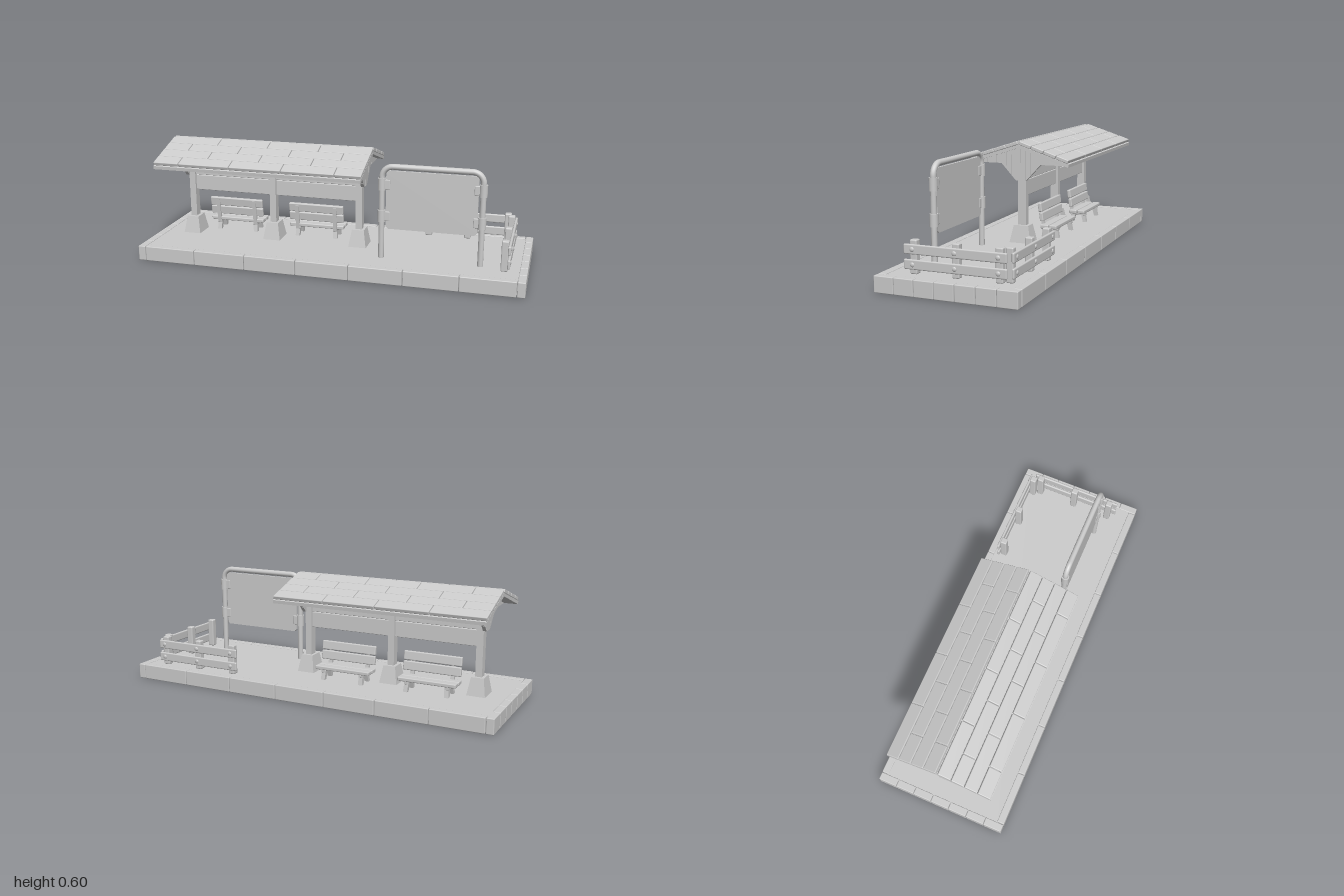
import * as THREE from 'three';
import { RoundedBoxGeometry } from 'three/addons/geometries/RoundedBoxGeometry.js';

const mat = new THREE.MeshStandardMaterial({ color: 0xcccccc });
const flat = new THREE.MeshStandardMaterial({ color: 0xcccccc, flatShading: true });

function add(parent, name, geo, x = 0, y = 0, z = 0, m = mat) {
  const mesh = new THREE.Mesh(geo, m);
  mesh.name = name;
  mesh.position.set(x, y, z);
  parent.add(mesh);
  return mesh;
}

function group(parent, name, x = 0, y = 0, z = 0) {
  const g = new THREE.Group();
  g.name = name;
  g.position.set(x, y, z);
  parent.add(g);
  return g;
}

// Box given by its limits, with softly rounded edges when r > 0
function block(parent, name, [x0, x1], [y0, y1], [z0, z1], r = 0.004) {
  const s = [x1 - x0, y1 - y0, z1 - z0];
  const geo = r ? new RoundedBoxGeometry(...s, 2, r) : new THREE.BoxGeometry(...s);
  return add(parent, name, geo, (x0 + x1) / 2, (y0 + y1) / 2, (z0 + z1) / 2);
}

// Outline in (z, y), extruded along x and centred on x = 0
function profileX(points, width) {
  const shape = new THREE.Shape(points.map(p => new THREE.Vector2(...p)));
  return new THREE.ExtrudeGeometry(shape, { depth: width, bevelEnabled: false })
    .translate(0, 0, -width / 2).rotateY(-Math.PI / 2);
}

const FLOOR = 0.074;

function platform(root) {
  const g = group(root, 'platform');
  block(g, 'slab', [-0.97, 0.97], [0.004, FLOOR], [-0.315, 0.315], 0);
  const xs = [-0.96, -0.686, -0.411, -0.137, 0.137, 0.411, 0.686, 0.96];
  for (const s of [-1, 1]) {
    const z = s < 0 ? [-0.345, -0.308] : [0.308, 0.345];
    for (let i = 0; i < 7; i++) {
      block(g, 'longKerbStone', [xs[i] + 0.0015, xs[i + 1] - 0.0015], [0, 0.078], z);
      const a = -0.345 + i * 0.0986;
      block(g, 'endKerbStone', s < 0 ? [-1, -0.9615] : [0.9615, 1], [0, 0.078],
        [a + 0.001, a + 0.0976]);
    }
  }
}

const POST_X = [-0.822, -0.36, 0.114];

function supports(root) {
  const g = group(root, 'shelterFrame');
  for (const x of POST_X) {
    block(g, 'post', [x - 0.017, x + 0.017], [FLOOR, 0.56], [-0.022, 0.022], 0);
    // Tapered four-sided footing
    const foot = new THREE.CylinderGeometry(0.032 * Math.SQRT2, 0.047 * Math.SQRT2, 0.09, 4);
    foot.rotateY(Math.PI / 4).scale(1, 1, 1.24);
    add(g, 'postFooting', foot, x, FLOOR + 0.045, 0, flat);
  }
  // Horizontal boards along the middle
  for (let i = 0; i < 3; i++) {
    const y = 0.312 + i * 0.084;
    block(g, 'wallBoard', [-0.815, 0.105], [y, y + 0.082], [-0.009, 0.009], 0.003);
  }
}

function gables(root) {
  const w = 0.0268;
  const top = z => 0.568 - 0.324 * Math.abs(z);
  const bottom = z => Math.min(0.482, 0.395 + 1.08 * Math.max(0, Math.abs(z) - w));
  for (const x of [-0.845, 0.136]) {
    const g = group(root, 'gable', x);
    for (let i = -10; i < 10; i++) {
      const a = i * w + 0.0008, b = (i + 1) * w - 0.0008;
      const pts = [[a, bottom(a)], [b, bottom(b)], [b, top(b)], [a, top(a)]];
      add(g, 'gablePlank', profileX(pts, 0.018));
    }
    // Backing that closes the gaps between planks
    const pts = [[-0.26, 0.483], [-0.107, 0.483], [-w, 0.397], [w, 0.397],
      [0.107, 0.483], [0.26, 0.483], [0, 0.566]];
    add(g, 'gableBacking', profileX(pts, 0.012));
  }
}

function roof(root) {
  const g = group(root, 'roof');
  const x0 = -0.925, x1 = 0.185, step = (x1 - x0) / 4;
  const deck = [[-0.268, 0.48], [0, 0.567], [0.268, 0.48], [0.27, 0.497], [0, 0.584], [-0.27, 0.497]];
  add(g, 'roofDeck', profileX(deck, x1 - x0 - 0.004), (x0 + x1) / 2);
  const slope = 0.312;
  for (const s of [-1, 1]) {
    for (let row = 0; row < 4; row++) {
      // Alternate rows are shifted by half a tile
      const shifted = (row % 2 === 1) === (s > 0);
      const cuts = shifted ? [0, 0.5, 1.5, 2.5, 3.5, 4] : [0, 1, 2, 3, 4];
      const d = 0.0375 + row * 0.0695;
      for (let i = 0; i < cuts.length - 1; i++) {
        const len = (cuts[i + 1] - cuts[i]) * step - 0.003;
        const tile = add(g, 'roofTile', new RoundedBoxGeometry(len, 0.019, 0.067, 2, 0.004),
          x0 + (cuts[i] + cuts[i + 1]) / 2 * step,
          0.594 - d * Math.sin(slope), s * d * Math.cos(slope));
        tile.rotation.x = s * (slope + 0.015);
      }
    }
  }
  for (const x of [-0.73, -0.37, -0.02])
    add(g, 'ceilingLamp', new THREE.CylinderGeometry(0.022, 0.022, 0.045, 6), x, 0.5, -0.166, flat);
}

function bench(root, x) {
  const g = group(root, 'bench', x);
  const half = 0.151;
  block(g, 'seatSlat', [-half, half], [0.126, 0.146], [-0.096, -0.052], 0.005);
  block(g, 'seatSlat', [-half, half], [0.126, 0.146], [-0.144, -0.101], 0.005);
  // Backrest leans away from the seat
  for (const [y, z] of [[0.187, -0.058], [0.237, -0.05]]) {
    const slat = add(g, 'backSlat', new RoundedBoxGeometry(half * 2, 0.046, 0.02, 2, 0.005), 0, y, z);
    slat.rotation.x = 0.13;
  }
  for (const s of [-1, 1]) {
    const lx = s * 0.105;
    block(g, 'seatBearer', [lx - 0.011, lx + 0.011], [0.112, 0.127], [-0.14, -0.05], 0.002);
    for (const [z, lean] of [[-0.069, 0.012], [-0.123, -0.012]]) {
      const pts = [[z + lean - 0.01, FLOOR], [z + lean + 0.01, FLOOR], [z + 0.012, 0.126], [z - 0.012, 0.126]];
      const leg = add(g, 'leg', profileX(pts, 0.022), lx + s * 0.006);
      leg.rotation.z = s * 0.06;
    }
    const brace = [[-0.066, 0.115], [-0.05, 0.115], [-0.034, 0.25], [-0.044, 0.25]];
    add(g, 'backSupport', profileX(brace, 0.02), lx);
  }
}

// Fence running along local x with rails on the local +z side
function fence(root, name, postXs, from, to) {
  const g = group(root, name);
  for (const px of postXs)
    block(g, 'fencePost', [px - 0.0175, px + 0.0175], [FLOOR, 0.23], [-0.0175, 0.0175], 0.006);
  for (const y of [0.12, 0.189]) {
    block(g, 'fenceRail', [from, to], [y - 0.023, y + 0.023], [0.0155, 0.029], 0.006);
    for (const px of postXs) {
      const bolt = add(g, 'bolt', new THREE.SphereGeometry(0.0115, 14, 8), px, y, 0.028);
      bolt.scale.z = 0.5;
    }
  }
  return g;
}

function noticeBoard(root) {
  const g = group(root, 'noticeBoard', 0.517, 0, 0.165);
  const w = 0.25, top = 0.55, r = 0.055;
  // Hoop with rounded upper corners
  const path = new THREE.CurvePath();
  const v = (x, y) => new THREE.Vector3(x, y, 0);
  path.add(new THREE.LineCurve3(v(-w, FLOOR), v(-w, top - r)));
  path.add(new THREE.CubicBezierCurve3(v(-w, top - r), v(-w, top - 0.45 * r), v(-w + 0.45 * r, top), v(-w + r, top)));
  path.add(new THREE.LineCurve3(v(-w + r, top), v(w - r, top)));
  path.add(new THREE.CubicBezierCurve3(v(w - r, top), v(w - 0.45 * r, top), v(w, top - 0.45 * r), v(w, top - r)));
  path.add(new THREE.LineCurve3(v(w, top - r), v(w, FLOOR)));
  add(g, 'hoop', new THREE.TubeGeometry(path, 160, 0.0145, 14));
  // Panel with small notched corners
  const a = 0.228, b = 0.15, c = 0.012;
  const panel = new THREE.Shape([[-a + c, -b], [a - c, -b], [a, -b + c], [a, b - c], [a - c, b],
    [-a + c, b], [-a, b - c], [-a, -b + c]].map(p => new THREE.Vector2(...p)));
  const geo = new THREE.ExtrudeGeometry(panel, { depth: 0.012, bevelEnabled: false }).translate(0, 0, -0.006);
  add(g, 'panel', geo, 0, 0.38, 0);
  for (const s of [-1, 1]) for (const y of [0.295, 0.459]) {
    add(g, 'collar', new THREE.CylinderGeometry(0.02, 0.02, 0.06, 18), s * w, y, 0);
    add(g, 'bracket', new RoundedBoxGeometry(0.034, 0.05, 0.018, 2, 0.004), s * (w - 0.026), y, 0);
  }
}

export function createModel() {
  const root = new THREE.Group();
  root.name = 'stationPlatform';
  platform(root);
  supports(root);
  gables(root);
  roof(root);
  bench(root, -0.597);
  bench(root, -0.14);
  noticeBoard(root);
  // Side fence at +x, turned so its rails face outwards
  const side = fence(root, 'sideFence', [-0.197, 0.01, 0.217], -0.24, 0.257);
  side.rotation.y = Math.PI / 2;
  side.position.x = 0.887;
  // Back fence, rails facing -z
  const back = fence(root, 'backFence', [-0.866, -0.655, -0.443], -0.9, -0.405);
  back.rotation.y = Math.PI;
  back.position.z = -0.256;
  return root;
}
